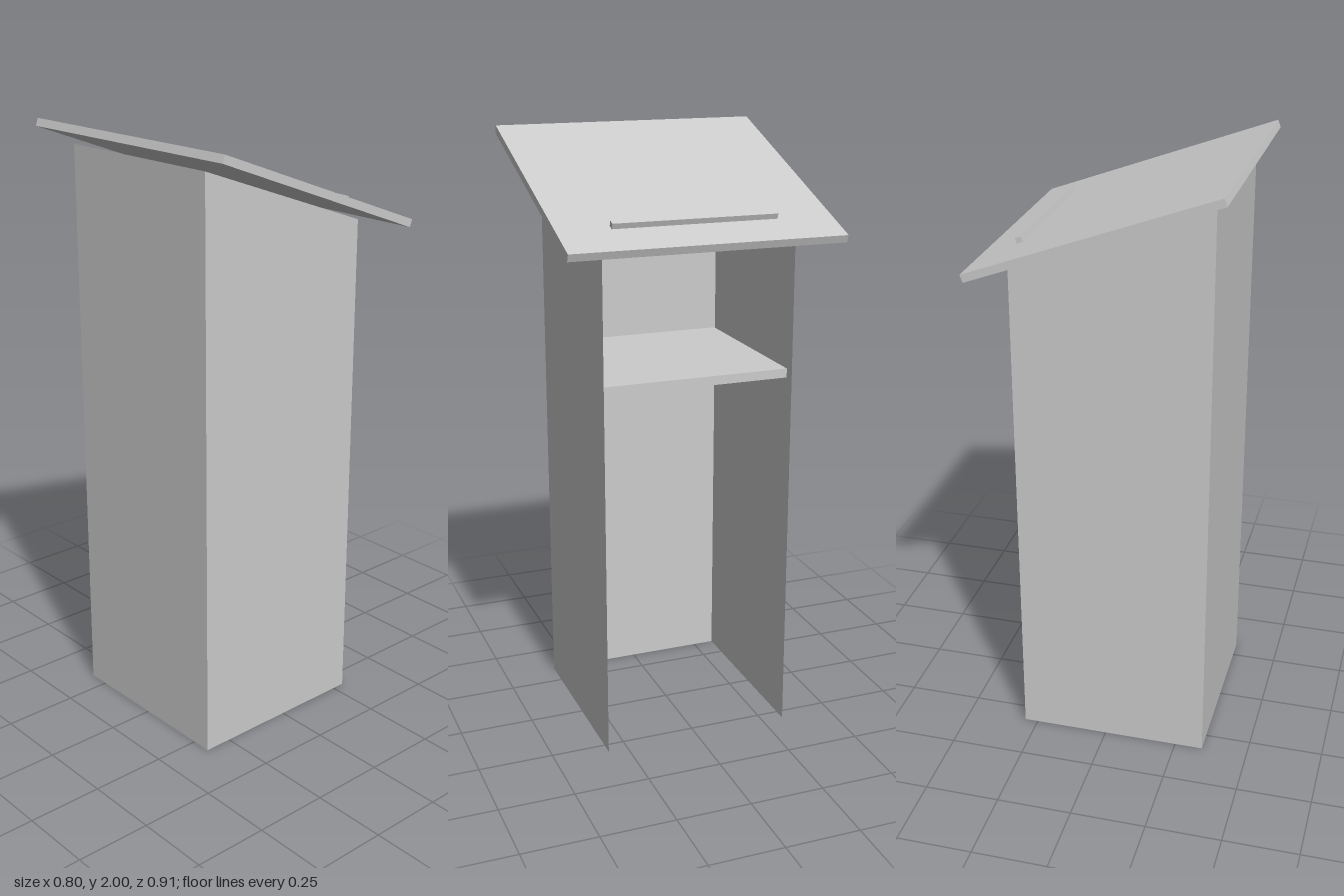
import * as THREE from 'three';

export function createModel() {
  const model = new THREE.Group();
  const solid = new THREE.MeshStandardMaterial({ color: 0xcccccc, flatShading: true });
  const sheet = new THREE.MeshStandardMaterial({ color: 0xcccccc, flatShading: true, side: THREE.DoubleSide });

  const add = (parent, name, geometry, material, x, y, z) => {
    const mesh = new THREE.Mesh(geometry, material);
    mesh.name = name;
    mesh.position.set(x, y, z);
    parent.add(mesh);
    return mesh;
  };

  // Body extents: thin panels on three sides, open towards +x
  const backX = -0.345, openX = 0.295;
  const highY = 1.93, lowY = 1.70;
  const halfDepth = 0.32, midZ = -0.003;

  // Side panels with a sloping top edge
  const outline = new THREE.Shape([
    new THREE.Vector2(backX, 0),
    new THREE.Vector2(openX, 0),
    new THREE.Vector2(openX, lowY),
    new THREE.Vector2(backX, highY),
  ]);
  for (const [name, side] of [['frontSidePanel', 1], ['rearSidePanel', -1]]) {
    add(model, name, new THREE.ShapeGeometry(outline), sheet, 0, 0, midZ + side * halfDepth);
  }

  // Upright panel closing the tall side
  const upright = add(model, 'uprightPanel', new THREE.PlaneGeometry(halfDepth * 2, highY), sheet, backX, highY / 2, midZ);
  upright.rotation.y = -Math.PI / 2;

  // Inner shelf, set back slightly from the open side
  const shelfEnd = 0.266;
  add(model, 'shelf', new THREE.BoxGeometry(shelfEnd - backX - 0.003, 0.03, 0.632), solid,
    (shelfEnd + backX + 0.003) / 2, 1.244, midZ);

  // Sloping reading top with its paper stop
  const desk = new THREE.Group();
  desk.name = 'readingDesk';
  desk.position.set(0, 1.842, 0);
  desk.rotation.z = -0.356;
  add(desk, 'deskBoard', new THREE.BoxGeometry(0.841, 0.026, 0.908), solid, 0, 0, 0);
  add(desk, 'paperStop', new THREE.BoxGeometry(0.0205, 0.0185, 0.545), solid, 0.286, 0.023, 0.008);
  model.add(desk);

  return model;
}
